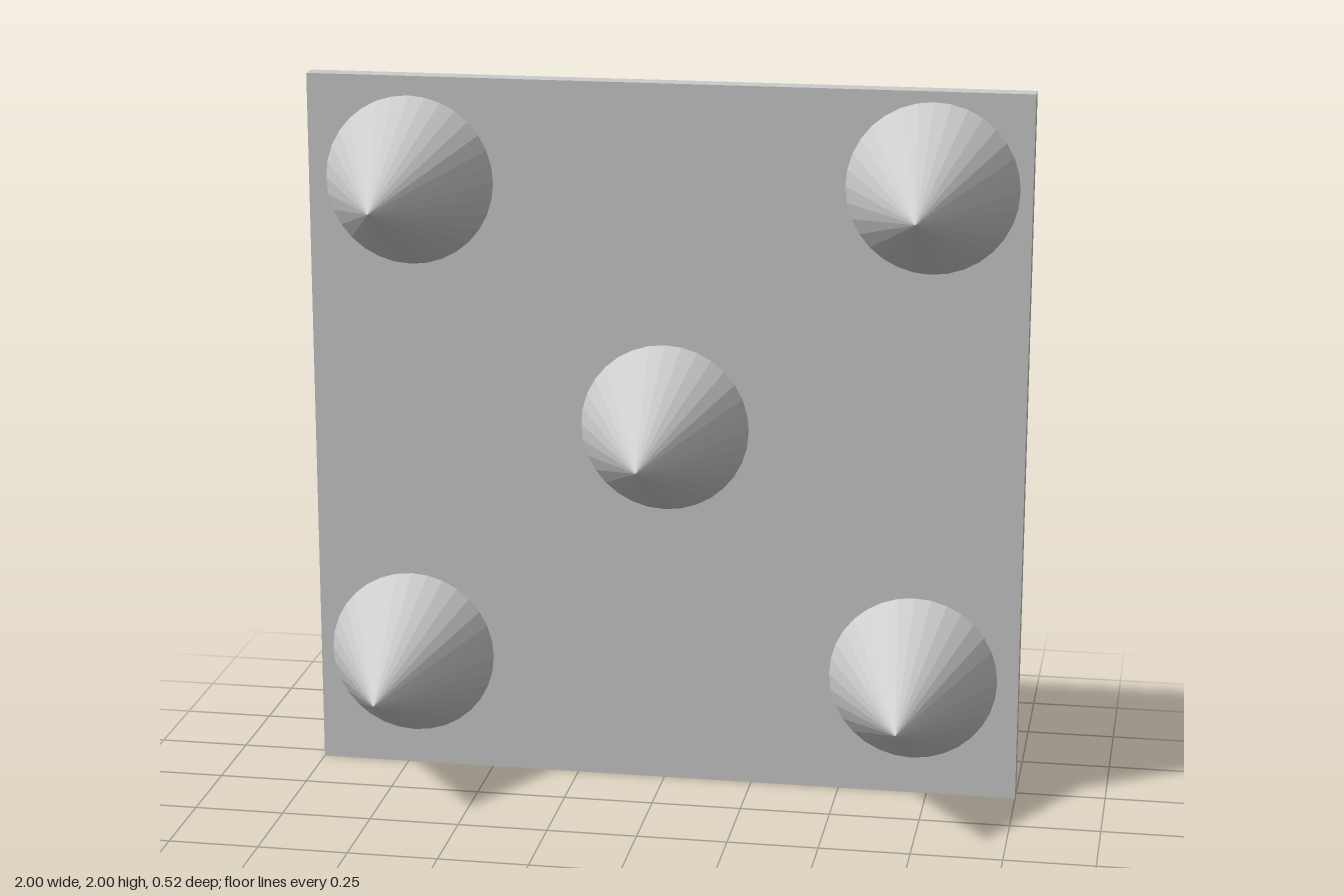
import * as THREE from 'three';

export function createModel() {
  const group = new THREE.Group();
  const material = new THREE.MeshStandardMaterial({ color: 0xcccccc, flatShading: true });

  const back = -0.262, plateDepth = 0.056, spikeLength = 0.468, spikeRadius = 0.236;
  const plateFront = back + plateDepth;

  // Square upright plate
  const plate = new THREE.Mesh(new THREE.BoxGeometry(2, 2, plateDepth), material);
  plate.name = 'plate';
  plate.position.set(0, 1, back + plateDepth / 2);
  group.add(plate);

  // Cones standing on the front face, pointing to +z
  const spikeGeometry = new THREE.ConeGeometry(spikeRadius, spikeLength, 32);
  spikeGeometry.rotateX(Math.PI / 2);
  const spikes = {
    upperRightSpike: [-0.715, 1.71],
    upperLeftSpike: [0.73, 1.735],
    centreSpike: [0, 1.035],
    lowerRightSpike: [-0.73, 0.335],
    lowerLeftSpike: [0.705, 0.34],
  };
  for (const [name, [x, y]] of Object.entries(spikes)) {
    const spike = new THREE.Mesh(spikeGeometry, material);
    spike.name = name;
    spike.position.set(x, y, plateFront + spikeLength / 2);
    group.add(spike);
  }

  return group;
}
